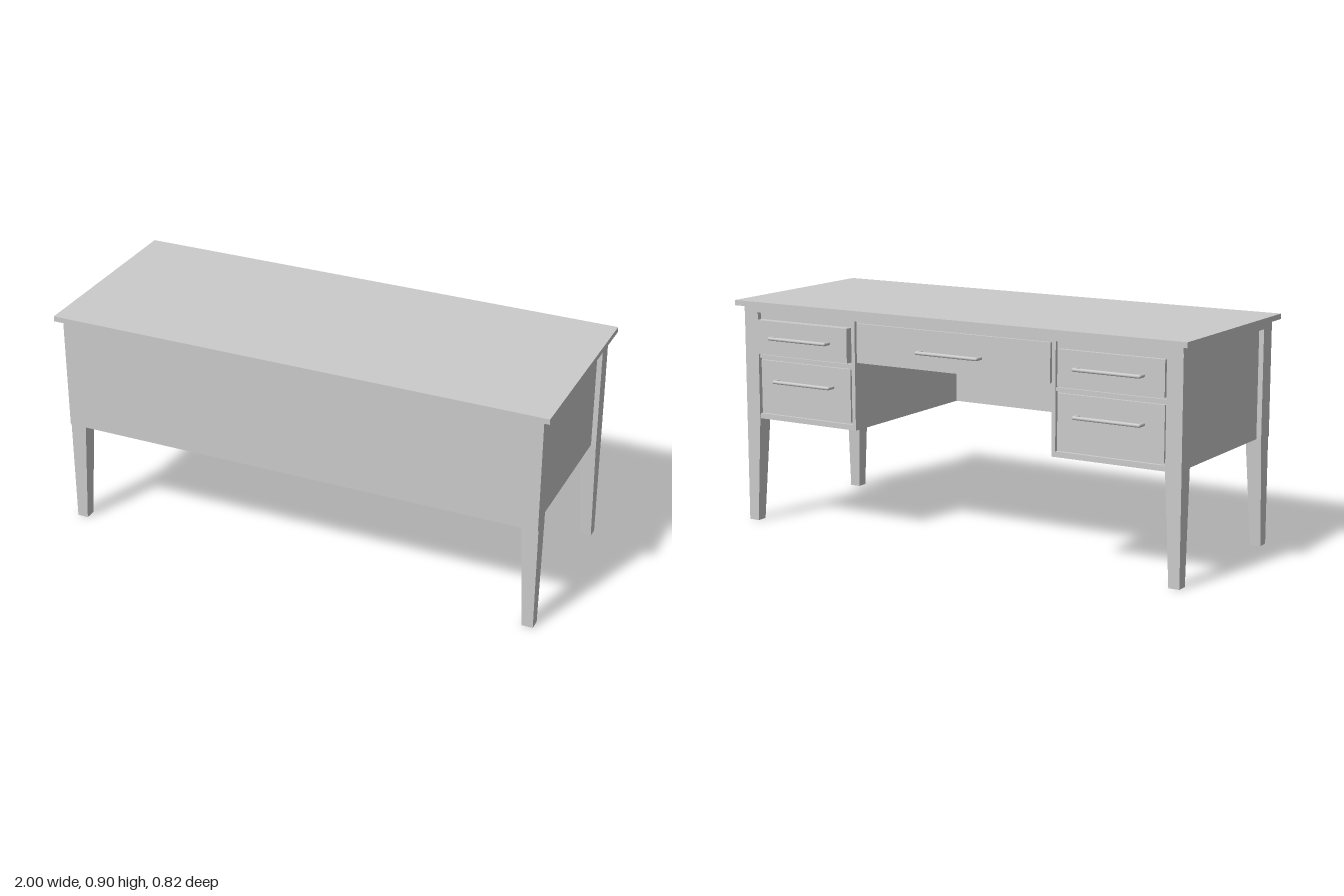
import * as THREE from 'three';

const material = new THREE.MeshStandardMaterial({ color: 0xcccccc, flatShading: true });
const smooth = new THREE.MeshStandardMaterial({ color: 0xcccccc });

// Box given by its limits on each axis
function box(parent, name, [x0, x1], [y0, y1], [z0, z1]) {
  const mesh = new THREE.Mesh(new THREE.BoxGeometry(x1 - x0, y1 - y0, z1 - z0), material);
  mesh.position.set((x0 + x1) / 2, (y0 + y1) / 2, (z0 + z1) / 2);
  mesh.name = name;
  parent.add(mesh);
  return mesh;
}

// Leg: straight outer faces, inner faces tapering below the cabinet
function leg(parent, name, sx, sz, zOuter) {
  const geo = new THREE.BoxGeometry(2, 2, 2, 1, 2, 1);
  const p = geo.attributes.position;
  const heights = [0, 0.424, 0.88];
  for (let i = 0; i < p.count; i++) {
    const level = Math.round(p.getY(i)) + 1;
    const width = level === 0 ? 0.044 : 0.065;
    const x = 0.973 - (p.getX(i) * sx > 0 ? 0 : width);
    const z = zOuter - (p.getZ(i) * sz > 0 ? 0 : width);
    p.setXYZ(i, sx * x, heights[level], sz * z);
  }
  geo.computeVertexNormals();
  const mesh = new THREE.Mesh(geo, material);
  mesh.name = name;
  parent.add(mesh);
}

// Bar pull with two posts, standing out towards -z
function handle(parent, x, y, z) {
  const group = new THREE.Group();
  group.name = 'handle';
  const r = 0.007, half = 0.14, reach = 0.032;
  const bar = new THREE.Mesh(new THREE.CapsuleGeometry(r, 2 * half - 2 * r, 4, 12), smooth);
  bar.name = 'handleBar';
  bar.rotation.z = Math.PI / 2;
  bar.position.z = -reach;
  group.add(bar);
  for (const s of [-1, 1]) {
    const post = new THREE.Mesh(new THREE.CylinderGeometry(r, r, reach, 12), smooth);
    post.name = 'handlePost';
    post.rotation.x = Math.PI / 2;
    post.position.set(s * (half - r), 0, -reach / 2);
    group.add(post);
  }
  group.position.set(x, y, z);
  parent.add(group);
}

function drawer(parent, name, xs, ys, face, handleY) {
  const group = new THREE.Group();
  group.name = name;
  box(group, 'drawerFront', xs, ys, [face, -0.325]);
  handle(group, (xs[0] + xs[1]) / 2, handleY, face);
  parent.add(group);
}

export function createModel() {
  const desk = new THREE.Group();
  desk.name = 'desk';

  // Top and panel closing the front
  box(desk, 'tabletop', [-1, 1], [0.879, 0.9], [-0.384, 0.414]);
  box(desk, 'frontPanel', [-0.973, 0.973], [0.424, 0.88], [0.37, 0.393]);

  // Rails under the top
  box(desk, 'backRail', [-0.973, 0.973], [0.855, 0.88], [-0.36, -0.33]);
  box(desk, 'middleCarcass', [-0.46, 0.46], [0.69, 0.88], [-0.338, 0.372]);

  for (const s of [-1, 1]) {
    const span = (a, b) => (s > 0 ? [a, b] : [-b, -a]);
    const side = s > 0 ? 'left' : 'right';
    leg(desk, side + 'FrontLeg', s, 1, 0.387);
    leg(desk, side + 'BackLeg', s, -1, 0.357);

    // Pedestal with recessed side, framed by legs and rails
    box(desk, side + 'Pedestal', span(0.44, 0.953), [0.424, 0.88], [-0.338, 0.372]);
    box(desk, side + 'SideRail', span(0.94, 0.973), [0.85, 0.88], [-0.3, 0.33]);
    box(desk, side + 'Stile', span(0.44, 0.456), [0.424, 0.857], [-0.352, -0.33]);
    box(desk, side + 'DrawerDivider', span(0.455, 0.91), [0.67, 0.683], [-0.348, -0.33]);
    box(desk, side + 'BottomRail', span(0.455, 0.91), [0.424, 0.445], [-0.352, -0.33]);

    // The upper drawer on one side stands slightly open
    const upperFace = s > 0 ? -0.372 : -0.354;
    drawer(desk, side + 'UpperDrawer', span(0.464, 0.9), [0.69, 0.826], upperFace, 0.762);
    drawer(desk, side + 'LowerDrawer', span(0.464, 0.9), [0.453, 0.663], -0.35, 0.585);
  }

  drawer(desk, 'middleDrawer', [-0.432, 0.432], [0.695, 0.846], -0.35, 0.762);
  return desk;
}
